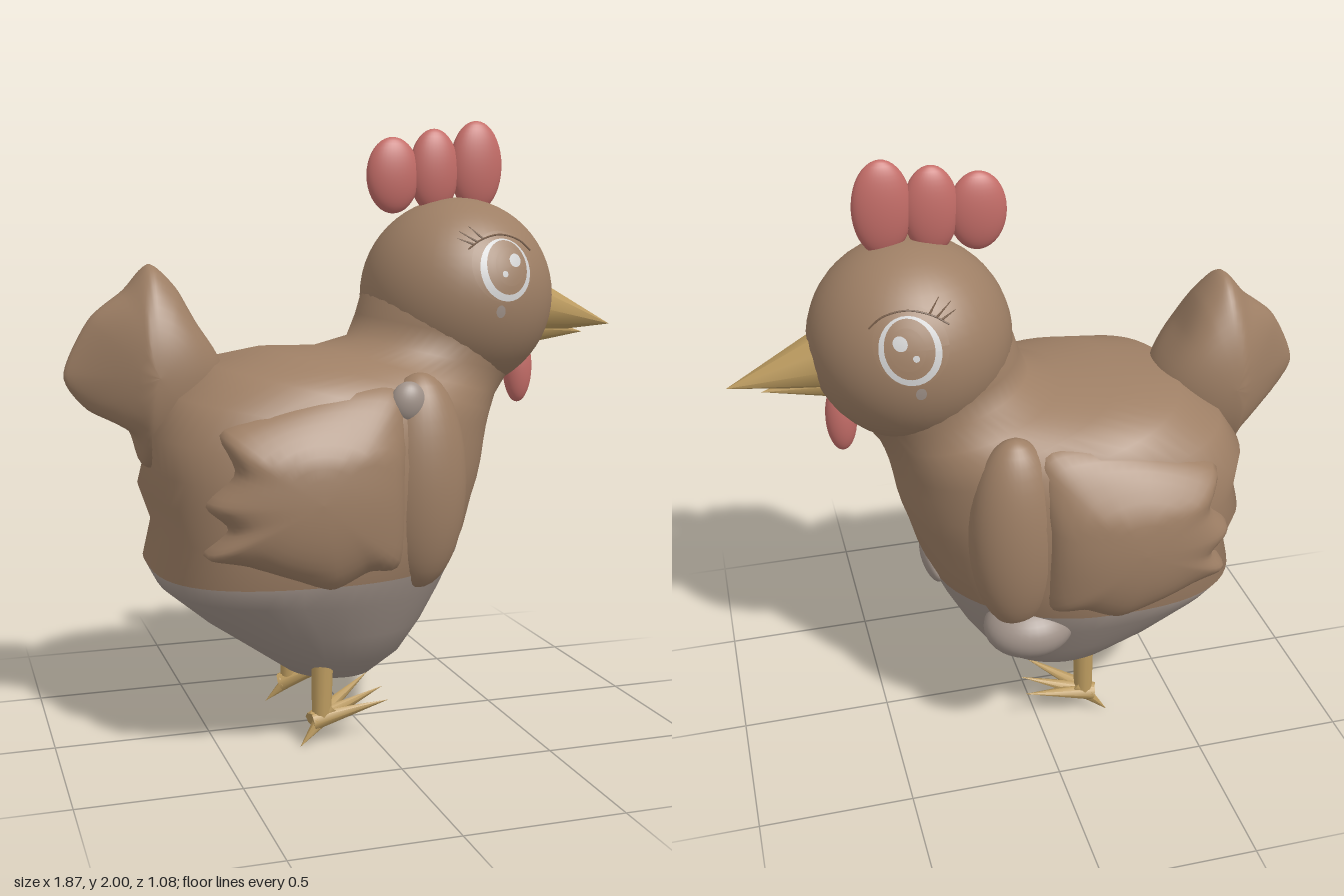
import * as THREE from 'three';

const mat = (name, color) => {
  const m = new THREE.MeshStandardMaterial({ color });
  m.name = name;
  return m;
};

// Skin a list of closed rings; smooth normals wrap around each ring.
function loft(rings) {
  const n = rings[0].length, index = [];
  for (let i = 0; i < rings.length - 1; i++)
    for (let j = 0; j < n; j++) {
      const k = (j + 1) % n;
      const a = i * n + j, b = i * n + k, c = a + n, d = b + n;
      index.push(a, c, b, b, c, d);
    }
  const g = new THREE.BufferGeometry().setFromPoints(rings.flat());
  g.setIndex(index);
  g.computeVertexNormals();
  return g;
}

// Pillow with an outline in the xy plane, bulging to depth(x, y) on both sides.
// Inner rings relax from the outline to an ellipse, so scallops stay at the rim.
function pillow(outline, [cx, cy], [ex, ey], depth, power) {
  const curve = new THREE.CatmullRomCurve3(
    outline.map(([x, y]) => new THREE.Vector3(x, y, 0)), true, 'catmullrom', 0.4);
  const pts = curve.getPoints(72).slice(0, -1);
  const rings = [];
  for (let i = 0; i <= 24; i++) {
    const a = (i / 24) * Math.PI, r = Math.sin(a), c = Math.cos(a);
    const bulge = Math.sign(c) * Math.pow(Math.abs(c), power);
    rings.push(pts.map(p => {
      const dx = p.x - cx, dy = p.y - cy, e = 1 / Math.hypot(dx / ex, dy / ey);
      const k = r * THREE.MathUtils.lerp(e, 1, r * r * r);
      const x = cx + dx * k, y = cy + dy * k;
      return new THREE.Vector3(x, y, bulge * depth(x, y));
    }));
  }
  return loft(rings);
}

export function createModel() {
  const hen = new THREE.Group();
  hen.name = 'hen';
  const brown = mat('brown feathers', 0x9e7f65);
  const pale = mat('pale belly', 0xa1938a);
  const red = mat('comb red', 0xc46d68);
  const gold = mat('beak gold', 0xbd9c60);
  const white = mat('eye white', 0xd0d0d0);
  const dark = mat('lash brown', 0x7a5f4a);

  const add = (name, geo, material, pos = [0, 0, 0], scale = [1, 1, 1]) => {
    const m = new THREE.Mesh(geo, material);
    m.name = name;
    m.position.set(...pos);
    m.scale.set(...scale);
    hen.add(m);
    return m;
  };
  const ball = new THREE.SphereGeometry(1, 32, 20);
  const blob = (name, material, pos, scale, tilt = 0) => {
    add(name, ball, material, pos, scale).rotation.z = tilt;
  };
  // Tapered rod between two points
  const rod = (name, material, from, to, r0, r1, sides = 8) => {
    const a = new THREE.Vector3(...from), b = new THREE.Vector3(...to);
    const dir = b.clone().sub(a);
    const m = add(name, new THREE.CylinderGeometry(r1, r0, dir.length(), sides), material,
      a.clone().lerp(b, 0.5).toArray());
    m.quaternion.setFromUnitVectors(new THREE.Vector3(0, 1, 0), dir.normalize());
  };

  // Torso and neck: back x, back y, front x, front y, half width, rear squareness
  const sections = [
    [-0.05, 0.145, -0.05, 0.145, 0, 2],
    [-0.24, 0.2, 0.06, 0.19, 0.16, 2],
    [-0.38, 0.3, 0.15, 0.27, 0.28, 2.1],
    [-0.52, 0.4, 0.22, 0.37, 0.35, 2.4],
    [-0.66, 0.52, 0.28, 0.48, 0.41, 2.7],
    [-0.69, 0.58, 0.325, 0.58, 0.45, 2.9],
    [-0.66, 0.7, 0.365, 0.68, 0.46, 3],
    [-0.7, 0.82, 0.39, 0.77, 0.47, 3.1],
    [-0.68, 0.9, 0.41, 0.83, 0.47, 3.1],
    [-0.7, 1.02, 0.425, 0.89, 0.47, 3],
    [-0.63, 1.14, 0.435, 0.95, 0.45, 2.8],
    [-0.5, 1.23, 0.445, 1.0, 0.42, 2.5],
    [-0.3, 1.27, 0.46, 1.05, 0.37, 2.2],
    [-0.12, 1.27, 0.48, 1.1, 0.305, 2],
    [-0.01, 1.3, 0.53, 1.17, 0.262, 2],
    [0.02, 1.37, 0.61, 1.245, 0.28, 2],
    [0.045, 1.45, 0.655, 1.33, 0.295, 2],
    [0.09, 1.53, 0.64, 1.44, 0.27, 2],
  ];
  const around = 56;
  const soft = (v, n) => Math.sign(v) * Math.pow(Math.abs(v), 2 / n);
  const torso = loft(sections.map(([bx, by, fx, fy, w, n]) =>
    Array.from({ length: around }, (_, j) => {
      const t = (j / around) * Math.PI * 2;
      const q = Math.cos(t) < 0 ? n : 2;
      const u = soft(Math.cos(t), q);
      return new THREE.Vector3((bx + fx) / 2 + u * (fx - bx) / 2,
        (by + fy) / 2 + u * (fy - by) / 2, w * soft(Math.sin(t), q));
    })));
  const bellyCount = 5 * around * 6;
  torso.addGroup(0, bellyCount, 1);
  torso.addGroup(bellyCount, torso.index.count - bellyCount, 0);
  add('torso', torso, [brown, pale]);

  // Head
  const head = new THREE.Vector3(0.36, 1.43, 0), R = 0.32;
  add('head', new THREE.SphereGeometry(R, 40, 28), brown, head.toArray());

  // Tail, narrowing towards its rear point
  add('tail', pillow([[-0.44, 1.2], [-0.53, 1.36], [-0.59, 1.47], [-0.67, 1.54], [-0.75, 1.46],
    [-0.86, 1.37], [-0.94, 1.2], [-0.87, 1.09], [-0.74, 1.02], [-0.69, 0.9], [-0.48, 0.95]],
  [-0.67, 1.2], [0.24, 0.28], x => 0.19 * Math.min(1, (x + 1.02) / 0.32), 0.9), brown);

  // Wings with scalloped rear edges, leaning in towards the back at the top
  const wing = pillow([[0.05, 1.15], [-0.08, 1.18], [-0.3, 1.14], [-0.53, 1.06], [-0.5, 0.94],
    [-0.58, 0.84], [-0.52, 0.77], [-0.58, 0.68], [-0.46, 0.65], [-0.33, 0.6], [-0.2, 0.55],
    [-0.08, 0.6], [0.03, 0.62], [0.04, 0.88]], [-0.26, 0.85], [0.31, 0.28],
  (x, y) => 0.24 - 0.35 * Math.max(0, y - 0.98), 0.45);
  for (const s of [1, -1]) {
    add('wing', wing, brown, [0, 0, s * 0.3]);
    blob('shoulderRidge', brown, [0.11, 0.87, s * 0.34], [0.15, 0.34, 0.125]);
  }
  blob('shoulderPatch', pale, [0.05, 1.125, 0.395], [0.055, 0.065, 0.04], -0.2);
  blob('bellyTuft', pale, [0.06, 0.5, -0.32], [0.15, 0.1, 0.13]);
  blob('chestPatch', pale, [0.317, 0.595, 0], [0.035, 0.07, 0.11], -0.25);

  // Comb and wattle
  blob('comb', red, [0.137, 1.82, 0], [0.09, 0.123, 0.042]);
  blob('comb', red, [0.28, 1.835, 0], [0.085, 0.137, 0.044]);
  blob('comb', red, [0.428, 1.852, 0], [0.091, 0.148, 0.044]);
  blob('wattle', red, [0.59, 1.18, 0], [0.05, 0.12, 0.042]);

  // Beak
  rod('upperBeak', gold, [0.62, 1.388, 0], [0.935, 1.32, 0], 0.1, 0, 10);
  rod('lowerBeak', gold, [0.6, 1.315, 0], [0.83, 1.295, 0], 0.06, 0, 10);

  // Eyes: thin plates wrapped on the head
  const onHead = (x, y, s, lift) => {
    const z = Math.sqrt(Math.max(0, R * R - (x - head.x) ** 2 - (y - head.y) ** 2));
    return [x, y, s * (z + lift)];
  };
  const plate = (name, material, s, cx, cy, rx, ry, lift) => {
    const g = new THREE.RingGeometry(0, 1, 32, 4), p = g.attributes.position;
    for (let i = 0; i < p.count; i++)
      p.setXYZ(i, ...onHead(cx + s * rx * p.getX(i), cy + ry * p.getY(i), s, lift));
    g.computeVertexNormals();
    add(name, g, material);
  };
  for (const s of [1, -1]) {
    plate('eyelid', brown, s, 0.405, 1.53, 0.11, 0.112, 0.004);
    plate('eyeWhite', white, s, 0.41, 1.52, 0.091, 0.098, 0.008);
    plate('iris', brown, s, 0.413, 1.528, 0.073, 0.085, 0.012);
    plate('pupil', brown, s, 0.42, 1.53, 0.052, 0.06, 0.015);
    plate('eyeHighlight', white, s, 0.44, 1.55, 0.021, 0.021, 0.018);
    plate('eyeHighlight', white, s, 0.398, 1.508, 0.01, 0.01, 0.018);
    plate('tear', pale, s, 0.387, 1.39, 0.016, 0.02, 0.005);
    // Upper lid line and lashes
    const lid = [[0.29, 1.585], [0.34, 1.615], [0.41, 1.63], [0.48, 1.612], [0.52, 1.58]];
    const path = new THREE.CatmullRomCurve3(
      lid.map(([x, y]) => new THREE.Vector3(...onHead(x, y, s, 0.008))));
    add('lidLine', new THREE.TubeGeometry(path, 20, 0.003, 5), dark);
    for (const [x0, y0, x1, y1] of [[0.31, 1.6, 0.265, 1.618], [0.325, 1.607, 0.275, 1.64],
      [0.345, 1.617, 0.31, 1.655]])
      rod('lash', dark, onHead(x0, y0, s, 0.008), onHead(x1, y1, s, 0.012), 0.004, 0.001, 5);
  }

  // Legs and toes
  for (const s of [1, -1]) {
    const ankle = [-0.17, 0.09, s * 0.2];
    rod('leg', gold, ankle, [-0.165, 0.36, s * 0.2], 0.032, 0.038, 12);
    for (const [x, y, z] of [[0.05, 0.13, 0.23], [0.05, 0.155, 0.165], [0.02, 0.185, 0.095]])
      rod('toe', gold, [-0.2, 0.075, s * 0.205], [x, y, s * z], 0.032, 0);
    rod('backToe', gold, [-0.14, 0.11, s * 0.195], [-0.25, 0.002, s * 0.23], 0.034, 0);
  }
  return hen;
}
